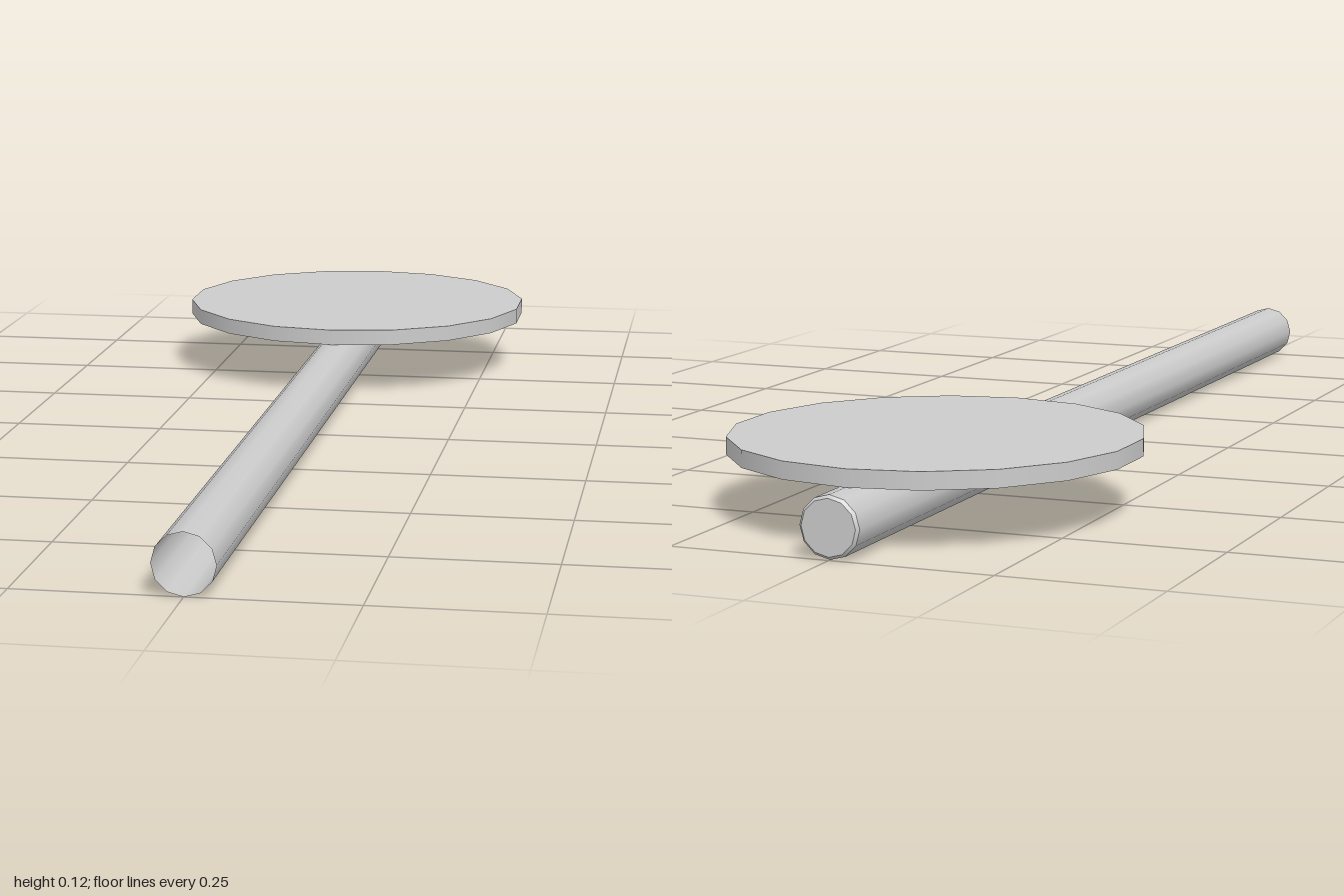
import * as THREE from 'three';

const material = new THREE.MeshStandardMaterial({ color: 0xcccccc, side: THREE.DoubleSide });

function addMesh(parent, name, geometry) {
  const mesh = new THREE.Mesh(geometry, material);
  mesh.name = name;
  parent.add(mesh);
  return mesh;
}

// Thin-walled polygonal cup along +y: open at y = 0, closed at y = height.
// A bevel above zero chamfers the closed end.
function makeCup(name, radius, height, sides, bevel = 0) {
  const cup = new THREE.Group();
  cup.name = name;
  const wall = height - bevel;
  addMesh(cup, name + 'Wall', new THREE.CylinderGeometry(radius, radius, wall, sides, 1, true))
    .position.y = wall / 2;
  if (bevel > 0) {
    addMesh(cup, name + 'Chamfer', new THREE.CylinderGeometry(radius - bevel, radius, bevel, sides, 1, true))
      .position.y = wall + bevel / 2;
  }
  const cap = new THREE.CircleGeometry(radius - bevel, sides, Math.PI / 2).rotateX(-Math.PI / 2);
  addMesh(cup, name + 'Cap', cap).position.y = height;
  return cup;
}

export function createModel() {
  const model = new THREE.Group();
  model.name = 'discOnPole';

  // Long hollow pole, open at the front and capped at the back
  const poleRadius = 0.0465;
  const pole = makeCup('pole', poleRadius, 2, 12, 0.0045);
  pole.rotation.x = -Math.PI / 2;
  pole.position.set(0, poleRadius, 1);
  model.add(pole);

  // Shallow disc resting on the pole, open underneath
  const disc = makeCup('disc', 0.315, 0.027, 18);
  disc.position.set(0, 2 * poleRadius, -0.63);
  model.add(disc);

  return model;
}
